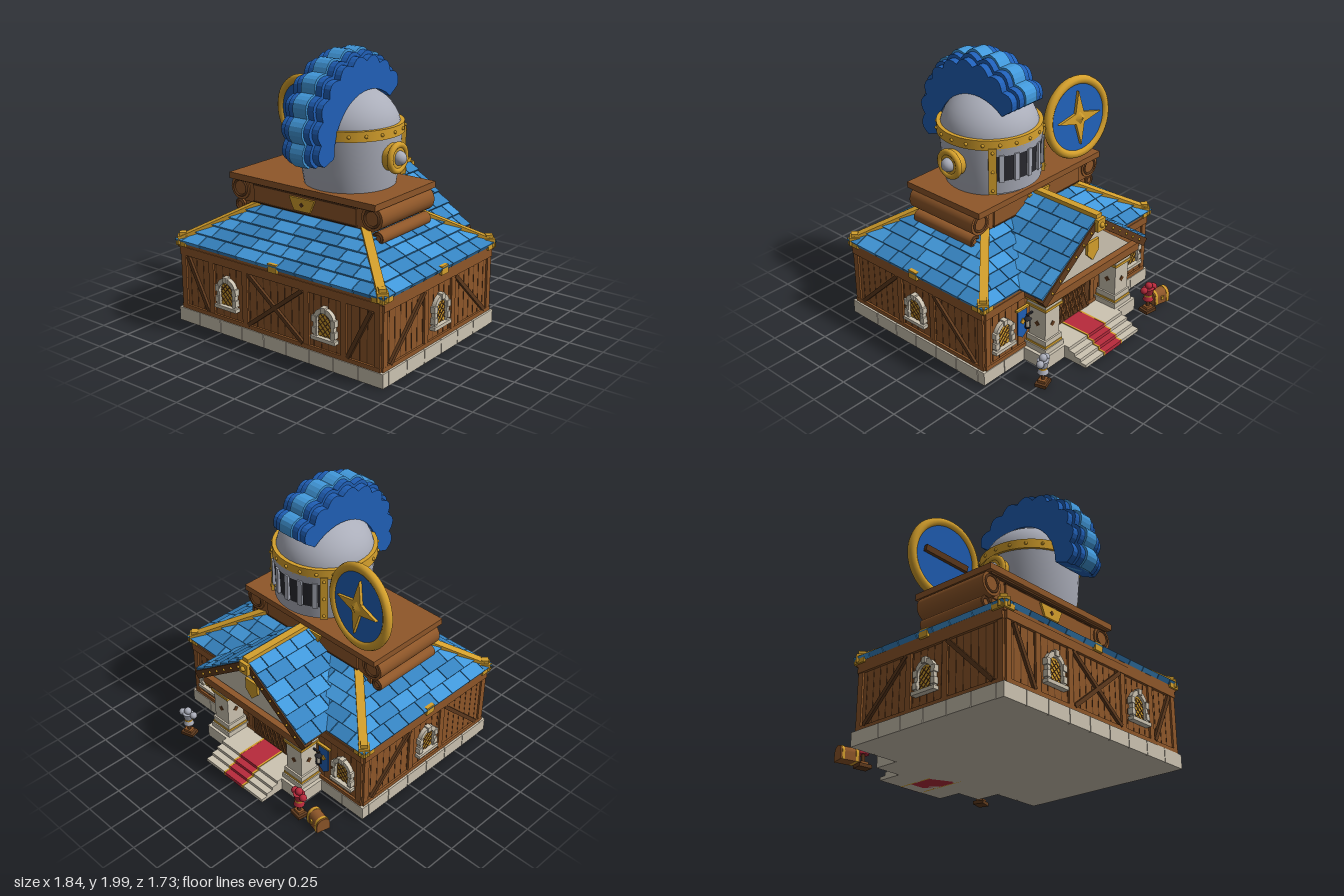
import * as THREE from 'three';
import { mergeGeometries } from 'three/addons/utils/BufferGeometryUtils.js';

const mat = (name, color, side = THREE.FrontSide) =>
  Object.assign(new THREE.MeshStandardMaterial({ color, side }), { name });
const M = {
  wood: mat('wood', 0x8f5729), dark: mat('dark wood', 0x5f3a1d), stone: mat('stone', 0xcdc4b2),
  gold: mat('gold', 0xd5a02c), steel: mat('steel', 0xabaeba, THREE.DoubleSide), light: mat('light blue tile', 0x4299dc),
  tile: mat('blue tile', 0x3684c2), royal: mat('royal blue', 0x2060b8), red: mat('red', 0xb82a3c), black: mat('black', 0x2a2a30),
};
const V = (x, y, z) => new THREE.Vector3(x, y, z);
let seed = 7;
const rand = () => (seed = (seed * 16807) % 2147483647) / 2147483647;

function add(p, name, geo, m, x = 0, y = 0, z = 0) {
  const o = new THREE.Mesh(geo, m);
  o.name = name; o.position.set(x, y, z); p.add(o);
  return o;
}
const box = (p, name, m, w, h, d, x, y, z) => add(p, name, new THREE.BoxGeometry(w, h, d), m, x, y, z);
const ball = (p, name, m, r, x, y, z) => add(p, name, new THREE.SphereGeometry(r, 14, 10), m, x, y, z);
const cyl = (p, name, m, rt, rb, h, x, y, z, n = 24) => add(p, name, new THREE.CylinderGeometry(rt, rb, h, n), m, x, y, z);
function group(p, name, x = 0, y = 0, z = 0, ry = 0) {
  const g = new THREE.Group();
  g.name = name; g.position.set(x, y, z); g.rotation.y = ry; p.add(g);
  return g;
}
// Box running from a to b, w wide and h tall
function beam(p, name, m, a, b, w, h) {
  const geo = new THREE.BoxGeometry(w, h, a.distanceTo(b));
  const look = new THREE.Matrix4().lookAt(b, a, V(0, 1, 0));
  geo.applyMatrix4(look);
  const c = a.clone().add(b).multiplyScalar(0.5);
  return add(p, name, geo, m, c.x, c.y, c.z);
}
const poly = (pts) => new THREE.Shape(pts.map(([x, y]) => new THREE.Vector2(x, y)));
const extrude = (s, depth) => new THREE.ExtrudeGeometry(s, { depth, bevelEnabled: false, curveSegments: 10 });
function arch(w, y0, y1) {
  const s = new THREE.Shape(), r = w / 2;
  s.moveTo(-r, y0); s.lineTo(r, y0); s.lineTo(r, y1 - r);
  s.absarc(0, y1 - r, r, 0, Math.PI, false); s.lineTo(-r, y0);
  return s;
}

// Staggered tiles on a slope facing local +z, narrowing from half-width w0 to w1
function tiledSlope(p, name, x, y, z, ry, w0, w1, rise, run, rows) {
  const g = group(p, name, x, y, z, ry), len = Math.hypot(rise, run), bins = { light: [], tile: [] };
  const half = (v) => w0 + (w1 - w0) * v / len;
  for (let r = 0; r < rows; r++) {
    const v0 = r / rows * len, v1 = Math.min(len, (r + 1.1) / rows * len);
    let u0 = -w0 - rand() * 0.1;
    while (u0 < half(v0)) {
      const u1 = u0 + 0.13 + rand() * 0.07, geo = new THREE.BoxGeometry(1, 1, 1), a = geo.attributes.position;
      if (u1 > -half(v0)) {
        for (let i = 0; i < a.count; i++) {
          const low = a.getY(i) < 0, v = low ? v0 : v1, h = half(v);
          const u = THREE.MathUtils.clamp(a.getX(i) < 0 ? u0 + 0.003 : u1 - 0.003, -h, h);
          const n = a.getZ(i) < 0 ? -0.01 : low ? 0.026 : 0.008;
          a.setXYZ(i, u, (v * rise + n * run) / len, (-v * run + n * rise) / len);
        }
        geo.computeVertexNormals();
        bins[rand() < 0.5 ? 'light' : 'tile'].push(geo);
      }
      u0 = u1;
    }
  }
  for (const k in bins) if (bins[k].length) add(g, name + ' ' + k, mergeGeometries(bins[k]), M[k]);
}

function windowAt(p, x) {
  const g = group(p, 'window', x), s = arch(0.17, 0.2, 0.425);
  s.holes.push(arch(0.115, 0.22, 0.39));
  add(g, 'windowFrame', extrude(s, 0.03), M.stone);
  add(g, 'windowPane', extrude(arch(0.13, 0.21, 0.4), 0.008), M.gold, 0, 0, 0.003);
  box(g, 'windowSill', M.stone, 0.2, 0.025, 0.045, 0, 0.21, 0.02);
  for (const s2 of [-1, 1]) {
    for (const y of [0.26, 0.34]) box(g, 'frameBlock', M.stone, 0.035, 0.045, 0.036, s2 * 0.078, y, 0.018);
    for (let c = 0.18; c < 0.44; c += 0.04) {
      const y0 = Math.max(0.22, c - 0.057), y1 = Math.min(0.375, c + 0.057);
      if (y1 - y0 > 0.02) beam(g, 'lattice', M.dark, V(s2 * (y0 - c), y0, 0.012), V(s2 * (y1 - c), y1, 0.012), 0.005, 0.005);
    }
  }
  box(g, 'keystone', M.stone, 0.035, 0.04, 0.04, 0, 0.415, 0.02);
}

// Timber wall facing local +z
function wall(p, name, w, x, z, ry, windows, posts, braces) {
  const g = group(p, name, x, 0, z, ry);
  for (let u = -w / 2 + 0.08; u < w / 2 - 0.05; u += 0.062) box(g, 'plankGroove', M.dark, 0.006, 0.4, 0.004, u, 0.32, 0);
  box(g, 'topBeam', M.wood, w, 0.06, 0.04, 0, 0.535, 0);
  box(g, 'bottomBeam', M.wood, w, 0.03, 0.03, 0, 0.115, 0);
  for (const u of posts) box(g, 'post', M.wood, 0.045, 0.4, 0.028, u, 0.32, 0);
  for (const [a, b, c, d] of braces) beam(g, 'brace', M.dark, V(a, b, 0.006), V(c, d, 0.006), 0.028, 0.028);
  windows.forEach((u) => windowAt(g, u));
}

function armourStand(p, m, x, z, ry) {
  const g = group(p, 'armourStand', x, 0, z, ry);
  box(g, 'standBase', M.dark, 0.1, 0.025, 0.08, 0, 0.0125, 0);
  box(g, 'standFoot', M.wood, 0.06, 0.02, 0.05, 0, 0.035, 0);
  cyl(g, 'standPost', M.dark, 0.014, 0.014, 0.09, 0, 0.08, 0, 8);
  cyl(g, 'skirt', m, 0.028, 0.04, 0.035, 0, 0.115, 0, 12);
  cyl(g, 'belt', M.gold, 0.031, 0.031, 0.012, 0, 0.136, 0, 12);
  cyl(g, 'breastplate', m, 0.042, 0.028, 0.055, 0, 0.168, 0, 12);
  for (const s of [-1, 1]) ball(g, 'shoulder', m, 0.027, s * 0.047, 0.19, 0);
  ball(g, 'helm', m, 0.028, 0, 0.215, 0);
}

function makeHelmet(root) {
  const g = group(root, 'helmet', 0.127, 0, 0.175);
  const prof = [[0.315, 1.07], [0.336, 1.2], [0.352, 1.43]];
  for (let i = 0; i <= 10; i++) { const a = i / 10 * Math.PI / 2; prof.push([0.345 * Math.cos(a), 1.45 + 0.29 * Math.sin(a)]); }
  add(g, 'helmetShell', new THREE.LatheGeometry(prof.map(([r, y]) => new THREE.Vector2(Math.max(r, 0), y)), 40), M.steel);
  cyl(g, 'browBand', M.gold, 0.368, 0.37, 0.07, 0, 1.465, 0, 40);
  for (let i = 0; i < 20; i++) {
    const a = i / 20 * Math.PI * 2;
    ball(g, 'bandRivet', M.gold, 0.012, 0.37 * Math.sin(a), 1.465, 0.37 * Math.cos(a));
  }
  // Barred visor on the entrance side
  const arc = (name, m, r, y0, y1) => add(g, name, new THREE.CylinderGeometry(r + 0.004, r - 0.004, y1 - y0, 16, 1, true, Math.PI * 0.75, Math.PI / 2), m, 0, (y0 + y1) / 2, 0);
  arc('visorLower', M.steel, 0.36, 1.1, 1.2);
  arc('visorOpening', M.black, 0.357, 1.19, 1.39);
  arc('visorUpper', M.steel, 0.367, 1.38, 1.44);
  for (let i = -2; i <= 2; i++) {
    const a = Math.PI + i * 0.3, b = box(g, 'visorBar', M.steel, 0.035, 0.2, 0.025, 0.362 * Math.sin(a), 1.29, 0.362 * Math.cos(a));
    b.rotation.y = a;
  }
  for (const s of [-1, 1]) {
    const a = Math.PI + s * 0.77, strip = group(g, 'visorStrip', 0.362 * Math.sin(a), 1.275, 0.362 * Math.cos(a), a);
    box(strip, 'stripPlate', M.gold, 0.055, 0.34, 0.035, 0, 0, 0);
    for (const y of [-0.14, 0, 0.14]) ball(strip, 'stripRivet', M.gold, 0.011, 0, y, 0.018);
    // Ear roundels
    cyl(g, 'earPlate', M.gold, 0.095, 0.095, 0.07, s * 0.37, 1.295, 0).rotation.z = Math.PI / 2;
    add(g, 'earRim', new THREE.TorusGeometry(0.088, 0.022, 10, 32), M.gold, s * 0.395, 1.295, 0).rotation.y = Math.PI / 2;
    ball(g, 'earBoss', M.steel, 0.05, s * 0.408, 1.295, 0);
  }
  // Scalloped plume in three stepped layers
  [[0.305, 0.045, M.royal], [0.205, 0.018, M.royal], [0.11, 0, M.light]].forEach(([w, inset, m]) => {
    const pts = [], lobes = 9, n = lobes * 6, at = (t) => THREE.MathUtils.degToRad(-20 + 165 * t);
    for (let i = 0; i <= n; i++) {
      const t = i / n, r = 0.522 - 0.05 * t * t * t - inset + 0.04 * Math.abs(Math.sin(t * lobes * Math.PI));
      pts.push([r * Math.cos(at(t)), r * Math.sin(at(t))]);
    }
    for (let i = 16; i >= 0; i--) {
      const t = i / 16, r = 0.265 + 0.08 * (2 * t - 1.15) ** 2;
      pts.push([r * Math.cos(at(t)), r * Math.sin(at(t))]);
    }
    add(g, 'plumeLayer', extrude(poly(pts), w), m, w / 2 - 0.005, 1.45, 0.012).rotation.y = -Math.PI / 2;
  });
}

function makeShield(root) {
  const g = group(root, 'roundShield', -0.476, 1.39, -0.1);
  g.rotation.set(-0.1, Math.PI - 0.12, 0, 'YXZ');
  cyl(g, 'shieldFace', M.royal, 0.275, 0.275, 0.03, 0, 0, 0, 40).rotation.x = Math.PI / 2;
  add(g, 'shieldRim', new THREE.TorusGeometry(0.272, 0.033, 10, 48), M.gold);
  const star = Array.from({ length: 8 }, (_, i) => { const r = i % 2 ? 0.055 : 0.2, a = i * Math.PI / 4; return [r * Math.cos(a), r * Math.sin(a)]; });
  add(g, 'shieldStar', extrude(poly(star), 0.025), M.gold, 0, 0, 0.012);
  add(g, 'starBoss', new THREE.ConeGeometry(0.05, 0.03, 4), M.gold, 0, 0, 0.05).rotation.x = Math.PI / 2;
  box(g, 'shieldHandle', M.dark, 0.37, 0.045, 0.03, 0, 0, -0.03).rotation.z = 0.12;
}

function makePorch(root) {
  const g = group(root, 'porch');
  box(g, 'porchFloor', M.stone, 1.0, 0.1, 0.22, 0, 0.05, -0.56);
  for (let i = 0; i < 4; i++) {
    const h = 0.1 - i * 0.025, front = 0.71 + i * 0.05, d = front - 0.46, slab = (name, m, w, e, x) => box(g, name, m, w, h + e, d + e, x, (h + e) / 2, -0.46 - (d + e) / 2);
    slab('step', M.stone, 0.59, 0, 0);
    slab('carpet', M.red, 0.18, 0.004, 0);
    for (const s of [-1, 1]) slab('carpetTrim', M.gold, 0.014, 0.005, s * 0.095);
  }
  box(g, 'door', M.dark, 0.4, 0.38, 0.02, 0, 0.29, -0.47);
  for (const s of [-1, 1]) for (let i = 0; i < 6; i++) {
    const x = -0.18 + i * 0.05;
    beam(g, 'doorLattice', M.wood, V(s * x, 0.12, -0.482), V(s * (x + 0.12), 0.46, -0.482), 0.012, 0.012);
  }
  box(g, 'lintel', M.wood, 1.0, 0.06, 0.24, 0, 0.55, -0.56);
  add(g, 'gableCore', extrude(poly([[-0.52, 0.575], [0.52, 0.575], [0, 0.975]]), 0.53), M.wood, 0, 0, -0.63);
  add(g, 'pediment', extrude(poly([[-0.43, 0.59], [0.43, 0.59], [0, 0.92]]), 0.012), M.stone, 0, 0, -0.641);
  add(g, 'pedimentCrest', extrude(poly([[-0.06, 0.8], [-0.06, 0.71], [0, 0.65], [0.06, 0.71], [0.06, 0.8]]), 0.02), M.gold, 0, 0, -0.66);
  box(g, 'ridgeCap', M.gold, 0.055, 0.03, 0.56, 0, 1.01, -0.42);
  box(g, 'gableFinial', M.gold, 0.08, 0.09, 0.03, 0, 0.95, -0.71);
  ball(g, 'finialStud', M.gold, 0.02, 0, 0.95, -0.725);
  for (const s of [-1, 1]) {
    tiledSlope(g, 'gableRoof', s * 0.55, 0.595, -0.395, s * Math.PI / 2, 0.295, 0.295, 0.4, 0.55, 6);
    beam(g, 'bargeBoard', M.dark, V(s * 0.55, 0.565, -0.665), V(0, 0.965, -0.665), 0.07, 0.06);
    for (let i = 1; i < 7; i++) ball(g, 'bargeStud', M.gold, 0.01, s * 0.55 * i / 7, 0.965 - 0.4 * i / 7, -0.701);
    // Pillar with gilt bands and a diamond on each face
    const p = group(g, 'pillar', s * 0.38, 0, -0.555);
    [[M.stone, 0.19, 0.04, 0.12], [M.gold, 0.175, 0.018, 0.15], [M.stone, 0.17, 0.04, 0.18], [M.stone, 0.145, 0.25, 0.32],
      [M.gold, 0.175, 0.02, 0.445], [M.stone, 0.165, 0.03, 0.47], [M.gold, 0.19, 0.02, 0.495], [M.stone, 0.18, 0.03, 0.515]]
      .forEach(([m, w, h, y]) => box(p, 'pillarBlock', m, w, h, w, 0, y, 0));
    for (let k = 0; k < 4; k++) {
      const f = group(p, 'pillarFace', 0, 0.31, 0, k * Math.PI / 2);
      box(f, 'pillarDiamond', M.dark, 0.032, 0.032, 0.008, 0, 0, 0.073).rotation.z = Math.PI / 4;
    }
    // Lantern on a bracket
    const l = group(g, 'lantern', s * 0.5, 0, -0.51);
    box(l, 'lanternArm', M.black, 0.08, 0.012, 0.012, -s * 0.03, 0.385, 0);
    cyl(l, 'lanternCap', M.black, 0.008, 0.03, 0.025, 0, 0.362, 0, 6);
    cyl(l, 'lanternGlass', M.stone, 0.02, 0.016, 0.06, 0, 0.32, 0, 6);
    for (let k = 0; k < 4; k++) box(l, 'lanternBar', M.black, 0.006, 0.065, 0.006, 0.022 * Math.cos(k * 1.571), 0.32, 0.022 * Math.sin(k * 1.571));
    cyl(l, 'lanternFoot', M.black, 0.024, 0.018, 0.014, 0, 0.285, 0, 6);
    // Hanging banner
    add(g, 'banner', extrude(poly([[-0.045, 0.44], [-0.045, 0.24], [0, 0.205], [0.045, 0.24], [0.045, 0.44]]), 0.009), M.royal, s * 0.53, 0, -0.492);
    box(g, 'bannerRod', M.gold, 0.12, 0.015, 0.02, s * 0.53, 0.44, -0.488);
    box(g, 'bannerEmblem', M.gold, 0.035, 0.035, 0.008, s * 0.53, 0.34, -0.495).rotation.z = Math.PI / 4;
  }
}

function makePlatform(root) {
  const g = group(root, 'platform', -0.037, 0, 0.18);
  box(g, 'platformFoot', M.wood, 1.1, 0.08, 0.555, 0, 0.835, 0);
  box(g, 'platformBody', M.wood, 1.1, 0.17, 0.58, 0, 0.95, 0);
  box(g, 'platformTop', M.wood, 1.27, 0.045, 0.69, 0, 1.047, 0);
  box(g, 'platformLedge', M.dark, 1.2, 0.015, 0.64, 0, 1.02, 0);
  for (const s of [-1, 1]) {
    [[0.575, 0.955, 0.085, 0.6], [0.605, 0.82, 0.045, 0.55]].forEach(([x, y, r, d]) => {
      cyl(g, 'scroll', M.wood, r, r, d, s * x, y, 0).rotation.x = Math.PI / 2;
      for (const e of [-1, 1]) add(g, 'scrollRing', new THREE.TorusGeometry(r * 0.68, 0.009, 6, 24), M.dark, s * x, y, e * d / 2);
    });
    const f = group(g, 'platformFace', 0, 0, 0, s > 0 ? 0 : Math.PI);
    box(f, 'facePanel', M.wood, 0.89, 0.12, 0.02, 0, 0.94, 0.295);
    for (const y of [0.88, 1.0]) box(f, 'panelTrim', M.dark, 0.9, 0.008, 0.026, 0, y, 0.295);
    add(f, 'faceKeystone', extrude(poly([[-0.07, 0.895], [0.07, 0.895], [0.11, 0.985], [-0.11, 0.985]]), 0.02), M.gold, 0, 0, 0.3);
    box(f, 'keystoneStud', M.dark, 0.025, 0.025, 0.008, 0, 0.94, 0.321).rotation.z = Math.PI / 4;
  }
}

export function createModel() {
  const root = new THREE.Group();
  root.name = 'knightHall';
  const cz = 0.18, PI = Math.PI;
  // Stone plinth with separate blocks
  box(root, 'plinth', M.stone, 1.78, 0.095, 1.29, 0, 0.0475, cz);
  for (const s of [-1, 1]) {
    for (let i = 0; i < 9; i++) box(root, 'plinthBlock', M.stone, 0.195, 0.1, 0.06, -0.8 + i * 0.2, 0.05, cz + s * 0.63);
    for (let i = 0; i < 6; i++) box(root, 'plinthBlock', M.stone, 0.06, 0.1, 0.195, s * 0.87, 0.05, cz - 0.5 + i * 0.2);
  }
  // Timber walls
  box(root, 'wallCore', M.wood, 1.74, 0.48, 1.28, 0, 0.33, cz);
  const mirror = (b) => [b, [-b[0], b[1], -b[2], b[3]]];
  const ends = mirror([-0.8, 0.5, -0.61, 0.13]), cross = mirror([-0.24, 0.5, 0.24, 0.13]);
  wall(root, 'frontWall', 1.74, 0, cz + 0.64, 0, [-0.43, 0.43], [-0.845, -0.58, -0.27, 0.27, 0.58, 0.845], [...ends, ...cross]);
  wall(root, 'backWall', 1.74, 0, cz - 0.64, PI, [-0.7, 0.7], [-0.845, -0.24, 0.24, 0.845], []);
  for (const s of [-1, 1])
    wall(root, 'sideWall', 1.28, s * 0.87, cz, s * PI / 2, [0], [-0.615, -0.16, 0.16, 0.615], mirror([-0.18, 0.5, -0.56, 0.13]));
  // Hipped roof: solid core, tiles, gilt hips and eave ornaments
  box(root, 'eaveBoard', M.wood, 1.78, 0.04, 1.31, 0, 0.575, cz);
  const core = new THREE.BoxGeometry(1.78, 0.26, 1.31), a = core.attributes.position;
  for (let i = 0; i < a.count; i++) if (a.getY(i) > 0) { a.setX(i, Math.sign(a.getX(i)) * 0.45); a.setZ(i, Math.sign(a.getZ(i)) * 0.255); }
  core.computeVertexNormals();
  add(root, 'roofCore', core, M.tile, 0, 0.725, cz);
  for (const s of [-1, 1]) {
    tiledSlope(root, 'mainRoof', 0, 0.595, cz + s * 0.665, s > 0 ? 0 : PI, 0.9, 0.46, 0.26, 0.4, 5);
    tiledSlope(root, 'mainRoof', s * 0.9, 0.595, cz, s * PI / 2, 0.665, 0.265, 0.26, 0.44, 5);
    box(root, 'eaveStud', M.gold, 0.05, 0.06, 0.075, s * 0.885, 0.6, cz - 0.01);
    for (const t of [-1, 1]) {
      beam(root, 'hipRidge', M.gold, V(s * 0.88, 0.62, cz + t * 0.65), V(s * 0.46, 0.87, cz + t * 0.265), 0.06, 0.03);
      const c = group(root, 'eaveCorner', s * 0.865, 0.61, cz + t * 0.63, PI / 4);
      box(c, 'cornerBlock', M.gold, 0.075, 0.06, 0.075, 0, 0, 0);
      box(c, 'cornerCap', M.gold, 0.05, 0.03, 0.05, 0, 0.04, 0);
      for (let k = 0; k < 2; k++) box(root, 'cornerPlate', M.gold, k ? 0.03 : 0.09, 0.05, k ? 0.09 : 0.03, s * (k ? 0.89 : 0.855), 0.595, cz + t * (k ? 0.61 : 0.655));
    }
  }
  box(root, 'eaveStud', M.gold, 0.075, 0.06, 0.05, 0, 0.6, cz + 0.65);
  makePorch(root);
  makePlatform(root);
  makeHelmet(root);
  makeShield(root);
  // Yard props
  armourStand(root, M.steel, 0.62, -0.755, 0.3);
  armourStand(root, M.red, -0.555, -0.75, -0.15);
  const ch = group(root, 'chest', -0.715, 0, -0.725, -0.25);
  box(ch, 'chestBody', M.wood, 0.14, 0.055, 0.1, 0, 0.0275, 0);
  cyl(ch, 'chestLid', M.wood, 0.05, 0.05, 0.14, 0, 0.055, 0, 16).rotation.z = PI / 2;
  for (const x of [-0.05, 0.05]) {
    cyl(ch, 'chestHoop', M.gold, 0.053, 0.053, 0.018, x, 0.055, 0, 16).rotation.z = PI / 2;
    box(ch, 'chestStrap', M.gold, 0.018, 0.055, 0.106, x, 0.0275, 0);
  }
  box(ch, 'chestLock', M.gold, 0.022, 0.028, 0.012, 0, 0.05, -0.053);
  return root;
}
